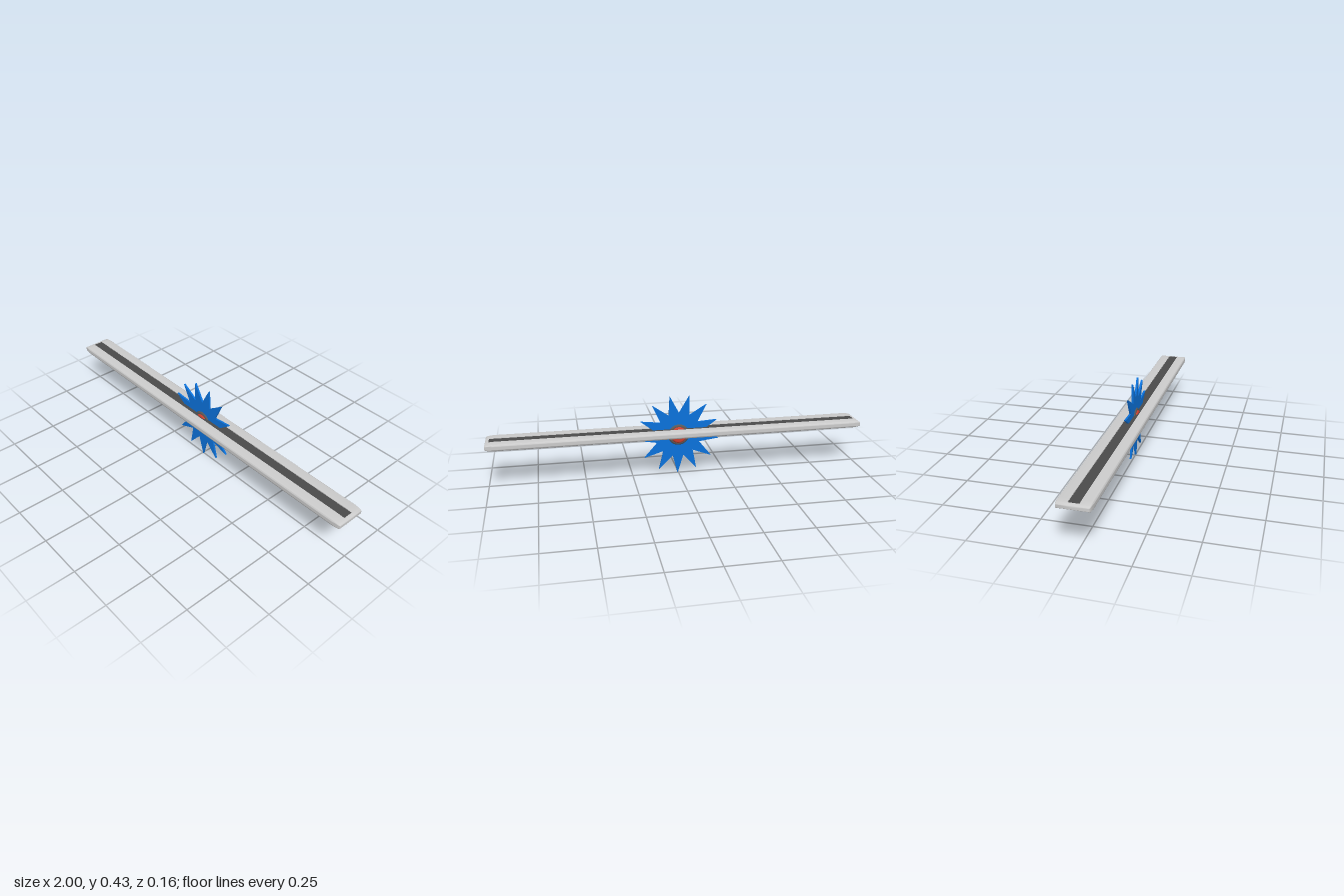
import * as THREE from 'three';
import { toCreasedNormals } from 'three/addons/utils/BufferGeometryUtils.js';

const RAIL_Y = 0.238, HUB_Y = 0.2195;

const paint = (color) => new THREE.MeshStandardMaterial({ color });

function add(parent, name, geometry, material, y) {
  const mesh = new THREE.Mesh(geometry, material);
  mesh.name = name;
  mesh.position.y = y;
  parent.add(mesh);
  return mesh;
}

// One rail cross-section as [y, z] points; s shrinks the corner radii towards the ends
function railSection(s) {
  const hy = 0.017, hz = 0.08, ry = 0.01, rz = 0.007, slot = 0.026, floor = 0.014, steps = 5;
  const top = hy - ry + ry * s;
  const low = Math.min(top, floor);
  const points = [[low, slot], [top, slot]];
  for (let corner = 0; corner < 4; corner++) {
    const sy = corner === 0 || corner === 3 ? 1 : -1;
    const sz = corner < 2 ? 1 : -1;
    for (let k = 0; k <= steps; k++) {
      const a = (corner + k / steps) * Math.PI / 2;
      points.push([
        sy * (hy - ry) + ry * s * Math.cos(a),
        sz * (hz - rz) + rz * s * Math.sin(a),
      ]);
    }
  }
  points.push([top, -slot], [low, -slot]);
  return points;
}

// Long rounded rail with stretched, tapering ends and a shallow slot along the top
function railGeometry() {
  const steps = 8, taper = 0.05, positions = [], index = [];
  const stations = [];
  for (const side of [-1, 1]) {
    for (let k = 0; k <= steps; k++) {
      const a = (side < 0 ? steps - k : k) / steps * Math.PI / 2;
      stations.push([side * (1 - taper + taper * Math.sin(a)), Math.cos(a)]);
    }
  }
  let n = 0;
  for (const [x, s] of stations) {
    const section = railSection(s);
    n = section.length;
    for (const [y, z] of section) positions.push(x, y, z);
  }
  for (let i = 0; i < stations.length - 1; i++) {
    for (let j = 0; j < n; j++) {
      const a = i * n + j, b = i * n + (j + 1) % n;
      index.push(a, b, a + n, b, b + n, a + n);
    }
  }
  // End caps
  const last = (stations.length - 1) * n;
  const centre = positions.length / 3;
  positions.push(-1, 0, 0, 1, 0, 0);
  for (let j = 0; j < n; j++) {
    const k = (j + 1) % n;
    index.push(centre, k, j, centre + 1, last + j, last + k);
  }
  const geometry = new THREE.BufferGeometry();
  geometry.setAttribute('position', new THREE.Float32BufferAttribute(positions, 3));
  geometry.setIndex(index);
  return toCreasedNormals(geometry, 0.6);
}

// Thirteen-pointed flat blade
function bladeGeometry() {
  const teeth = 13, tip = 0.2195, valley = 0.12, depth = 0.01;
  const start = THREE.MathUtils.degToRad(-88.5);
  const points = [];
  for (let i = 0; i < teeth * 2; i++) {
    const a = start + i * Math.PI / teeth;
    const r = i % 2 ? valley : tip;
    points.push(new THREE.Vector2(r * Math.cos(a), r * Math.sin(a)));
  }
  const geometry = new THREE.ExtrudeGeometry(new THREE.Shape(points), { depth, bevelEnabled: false });
  return geometry.translate(0, 0, -depth / 2);
}

// Round cap with softened rims, turned to face front and back
function capGeometry() {
  const r = 0.045, h = 0.02, round = 0.012, steps = 6;
  const profile = [new THREE.Vector2(0, -h)];
  for (const side of [-1, 1]) {
    for (let k = 0; k <= steps; k++) {
      const a = (side < 0 ? k / steps - 1 : k / steps) * Math.PI / 2;
      profile.push(new THREE.Vector2(
        r - round + round * Math.cos(a),
        side * (h - round) + round * Math.sin(a),
      ));
    }
  }
  profile.push(new THREE.Vector2(0, h));
  return new THREE.LatheGeometry(profile, 40).rotateX(Math.PI / 2);
}

export function createModel() {
  const model = new THREE.Group();
  model.name = 'sawBladeOnRail';

  // Rail and the dark strip in its slot
  add(model, 'rail', railGeometry(), paint(0xcccccc), RAIL_Y);
  add(model, 'slotStrip', new THREE.BoxGeometry(1.962, 0.004, 0.05), paint(0x4a4a4a), RAIL_Y + 0.0124);

  // Blade with its hub
  const saw = new THREE.Group();
  saw.name = 'saw';
  saw.position.y = HUB_Y;
  model.add(saw);
  add(saw, 'blade', bladeGeometry(), paint(0x0b72dc), 0);
  add(saw, 'hubRing', new THREE.TorusGeometry(0.047, 0.0115, 14, 48), paint(0x5a5a5a), 0);
  add(saw, 'hubCap', capGeometry(), paint(0xc8402e), 0);

  return model;
}
